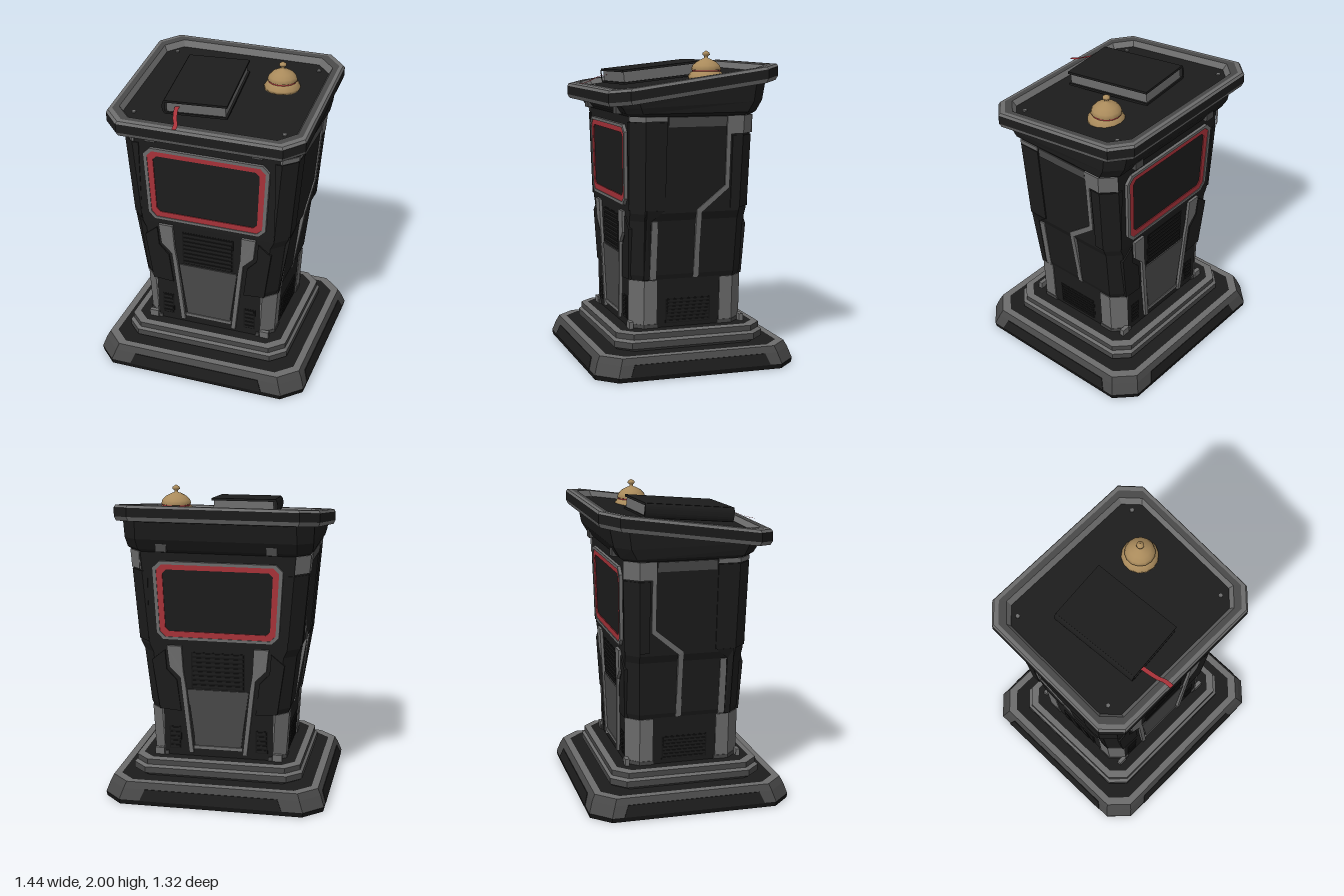
import * as THREE from 'three';

const mat = (name, color, extra = {}) =>
  Object.assign(new THREE.MeshStandardMaterial({ color, flatShading: true, ...extra }), { name });

// Piecewise linear lookup of column c in rows sorted by y
const lookup = (rows, c) => (y) => {
  let i = 1;
  while (i < rows.length - 1 && rows[i][0] < y) i++;
  const [a, b] = [rows[i - 1], rows[i]];
  return a[c] + (b[c] - a[c]) * THREE.MathUtils.clamp((y - a[0]) / (b[0] - a[0]), 0, 1);
};

// Eight-sided ring with chamfered corners; tilt lowers the front and lifts the back
function ring([y, hx, hz, c, tilt = 0, zc = 0]) {
  const q = [[hx, hz - c], [hx, c - hz], [hx - c, -hz], [c - hx, -hz],
    [-hx, c - hz], [-hx, hz - c], [c - hx, hz], [hx - c, hz]];
  return q.map(([x, z]) => [x, y - tilt * (z + zc), z + zc]);
}

// Skin between rows of points; each band gets its own material slot, caps close the ends
function skin(rows, closed, caps) {
  const pos = [], geo = new THREE.BufferGeometry();
  const group = (start, slot) => geo.addGroup(start, pos.length / 3 - start, slot);
  for (let r = 0; r < rows.length - 1; r++) {
    const start = pos.length / 3, n = rows[r].length;
    for (let i = 0; i < (closed ? n : n - 1); i++) {
      const j = (i + 1) % n, [a, b, c, d] = [rows[r][i], rows[r][j], rows[r + 1][j], rows[r + 1][i]];
      pos.push(...a, ...b, ...c, ...a, ...c, ...d);
    }
    if (caps) group(start, r);
  }
  if (caps) {
    const start = pos.length / 3, bot = rows[0], top = rows[rows.length - 1];
    for (let i = 1; i < bot.length - 1; i++) {
      pos.push(...bot[0], ...bot[i + 1], ...bot[i], ...top[0], ...top[i], ...top[i + 1]);
    }
    group(start, rows.length - 1);
  }
  geo.setAttribute('position', new THREE.Float32BufferAttribute(pos, 3));
  geo.computeVertexNormals();
  return geo;
}

export function createModel() {
  const black = mat('black', 0x1c1c1c), dark = mat('charcoal', 0x151515);
  const mid = mat('worn grey', 0x484848), light = mat('edge grey', 0x6c6c6c);
  const red = mat('red', 0xa83239, { side: THREE.DoubleSide }), brass = mat('brass', 0xa98a5b);
  brass.flatShading = false;

  const model = new THREE.Group();
  model.name = 'lectern';
  const add = (name, geo, material, parent = model) => {
    const m = new THREE.Mesh(geo, material);
    m.name = name;
    parent.add(m);
    return m;
  };
  // One material per band, the last one for the caps
  const loft = (name, sections, mats) => add(name, skin(sections.map(ring), true, true), mats);

  // Stepped base
  const baseRows = [[0, 0.71, 0.655, 0.12], [0.03, 0.715, 0.658, 0.12], [0.10, 0.69, 0.635, 0.12],
    [0.14, 0.67, 0.615, 0.115], [0.14, 0.625, 0.57, 0.1], [0.14, 0.5, 0.45, 0.1]];
  loft('base', baseRows, [dark, mid, mid, light, black, dark]);
  loft('upperStep', [[0.14, 0.53, 0.47, 0.09], [0.16, 0.555, 0.495, 0.09], [0.20, 0.555, 0.495, 0.09],
    [0.215, 0.54, 0.48, 0.09], [0.25, 0.54, 0.48, 0.09], [0.255, 0.5, 0.44, 0.08], [0.255, 0.42, 0.36, 0.08]],
  [mid, mid, light, mid, light, black, black]);

  // Tapering body
  const C = 0.075;
  const bodyRows = [[0.25, 0.428, 0.37, C], [0.57, 0.447, 0.37, C], [0.60, 0.458, 0.374, C],
    [0.95, 0.497, 0.382, C], [1.0, 0.52, 0.385, C], [1.62, 0.572, 0.395, C]];
  loft('body', bodyRows, [black, black, black, black, black, black]);
  const halfX = lookup(bodyRows, 1), halfZ = lookup(bodyRows, 2);

  // Plate standing "out" proud of a face: 0 front, 1 left, 2 back, 3 right
  function plate(name, face, pts, out, material, hole, half = face % 2 ? halfX : halfZ) {
    const shape = new THREE.Shape(pts.map((p) => new THREE.Vector2(...p)));
    if (hole) shape.holes.push(new THREE.Path(hole.map((p) => new THREE.Vector2(...p))));
    const geo = new THREE.ExtrudeGeometry(shape, { depth: out + 0.012, bevelEnabled: false });
    const p = geo.attributes.position;
    for (let i = 0; i < p.count; i++) p.setZ(i, p.getZ(i) - 0.012 + half(p.getY(i)));
    geo.computeVertexNormals();
    geo.rotateY(face * Math.PI / 2);
    geo.clearGroups();
    return add(name, geo, material);
  }
  const flip = (pts, s) => pts.map(([u, v]) => [u * s, v]);
  const rect = (u0, u1, v0, v1) => [[u0, v0], [u1, v0], [u1, v1], [u0, v1]];
  // Trapezoid with cut corners
  const cut = (wb, wt, y0, y1, c) => [[c - wb, y0], [wb - c, y0], [wb, y0 + c], [wt, y1 - c],
    [wt - c, y1], [c - wt, y1], [-wt, y1 - c], [-wb, y0 + c]];
  function vent(face, u0, u1, v0, v1, n) {
    plate('ventRecess', face, rect(u0, u1, v0, v1), 0.002, dark);
    const step = (v1 - v0) / n;
    for (let i = 0; i < n; i++) {
      plate('ventSlat', face, rect(u0 + 0.01, u1 - 0.01, v0 + step * (i + 0.2), v0 + step * (i + 0.75)), 0.008, black);
    }
  }

  // Plates wrapped round a body corner
  function wrap(name, sx, sz, y0, y1, x0, z0, e, material) {
    const rows = [[y0, -0.004], [y0, e], [y1, e], [y1, -0.004]].map(([y, o]) => {
      const hx = halfX(y), hz = halfZ(y);
      const pts = [[x0, hz - 0.004], [x0, hz + o], [hx - C, hz + o], [hx + o, hz - C], [hx + o, z0], [hx - 0.004, z0]];
      const row = pts.map(([x, z]) => [x * sx, y, z * sz]);
      return sx * sz > 0 ? row : row.reverse();
    });
    add(name, skin(rows, false, false), material);
  }
  for (const sx of [-1, 1]) {
    for (const sz of [-1, 1]) {
      wrap('footGuard', sx, sz, 0.28, 0.565, 0.36, 0.21, 0.006, light);
      wrap('footTrim', sx, sz, 0.255, 0.28, 0.33, 0.2, 0.01, mid);
    }
    wrap('frontShoulder', sx, 1, 1.02, 1.57, 0.45, 0.18, 0.008, black);
    wrap('frontShoulderTrim', sx, 1, 1.575, 1.605, 0.48, 0.18, 0.008, light);
    wrap('rearShoulderCap', sx, -1, 1.49, 1.605, 0.5, 0.21, 0.01, light);
    wrap('rearShoulder', sx, -1, 1.02, 1.48, 0.45, 0.25, 0.008, black);
  }

  // Front and back: framed screen, vent, centre panel and rails
  for (const face of [0, 2]) {
    plate('screenFrame', face, cut(0.395, 0.418, 1.04, 1.55, 0.045), 0.02, light, cut(0.373, 0.393, 1.06, 1.53, 0.035));
    plate('screenBorder', face, cut(0.376, 0.396, 1.057, 1.533, 0.035), 0.015, red, cut(0.338, 0.353, 1.097, 1.497, 0.025));
    plate('screen', face, cut(0.341, 0.356, 1.094, 1.5, 0.025), 0.009, black);
    vent(face, -0.175, 0.175, 0.72, 0.96, 8);
    plate('centrePanel', face, [[-0.15, 0.33], [0.15, 0.33], [0.2, 0.71], [-0.2, 0.71]], 0.008, mid);
    plate('centrePanelSill', face, rect(-0.16, 0.16, 0.305, 0.328), 0.012, light);
    for (const s of [-1, 1]) {
      plate('rail', face, flip([[0.162, 0.28], [0.19, 0.28], [0.245, 0.79], [0.315, 0.86], [0.33, 1.0],
        [0.235, 1.0], [0.225, 0.83], [0.208, 0.72]], s), 0.018, light);
      plate('hipArmour', face, flip([[0.245, 0.56], [0.27, 0.77], [0.335, 0.84], [0.345, 0.97], [0.43, 0.9], [0.385, 0.57]], s),
        0.01, black);
      vent(face, s * 0.285 - 0.04, s * 0.285 + 0.04, 0.30, 0.45, 5);
      plate('topClip', face, rect(s * 0.35 - 0.035, s * 0.35 + 0.035, 1.615, 1.665), face ? 0.055 : 0.06, mid);
      plate('footClip', face, rect(s * 0.39 - 0.03, s * 0.39 + 0.03, 0.255, 0.30), 0.015, light);
    }
  }

  // Left and right: seams, vent and top strip, mirrored
  for (const [face, s] of [[1, 1], [3, -1]]) {
    plate('sideSeam', face, flip([[0.028, 0.57], [0.062, 0.57], [0.062, 1.0], [0.238, 1.15], [0.238, 1.5],
      [0.21, 1.5], [0.21, 1.168], [0.028, 1.018]], s), 0.009, light);
    plate('frontSeam', face, flip([[-0.26, 0.57], [-0.22, 0.57], [-0.22, 0.95], [-0.26, 0.95]], s), 0.009, light);
    plate('hipPanel', face, flip([[-0.3, 0.57], [-0.265, 0.57], [-0.265, 0.95], [-0.185, 1.02], [-0.3, 1.02]], s), 0.01, black);
    plate('topStrip', face, flip(rect(-0.17, 0.205, 1.54, 1.6), s), 0.006, mid);
    vent(face, -0.15, 0.15, 0.28, 0.44, 7);
  }

  // Dark insets on the base
  for (let face = 0; face < 4; face++) {
    plate('baseInset', face, [[-0.46, 0.03], [0.46, 0.03], [0.43, 0.1], [-0.43, 0.1]], 0.004, black, null,
      lookup(baseRows.slice(1, 4), face % 2 ? 1 : 2));
  }

  // Collar and sloping tray top
  const T = 0.14, Z = -0.01;
  loft('collar', [[1.60, 0.565, 0.39, 0.08], [1.625, 0.59, 0.425, 0.085], [1.675, 0.60, 0.455, 0.09, 0.04, Z],
    [1.75, 0.605, 0.48, 0.1, T, Z]], [black, black, black, black]);
  loft('trayTop', [[1.738, 0.59, 0.49, 0.1, T, Z], [1.742, 0.635, 0.54, 0.11, T, Z], [1.768, 0.645, 0.552, 0.11, T, Z],
    [1.825, 0.645, 0.552, 0.11, T, Z], [1.841, 0.637, 0.544, 0.11, T, Z], [1.844, 0.615, 0.52, 0.105, T, Z],
    [1.842, 0.58, 0.485, 0.1, T, Z], [1.806, 0.56, 0.46, 0.09, T, Z]],
  [black, light, black, light, light, mid, light, black]);

  // Items lying on the slope
  const slope = new THREE.Group();
  slope.name = 'slopeItems';
  slope.position.y = 1.806;
  slope.rotation.x = Math.atan(T);
  model.add(slope);
  for (const x of [-0.49, 0.49]) {
    for (const z of [-0.4, 0.36]) {
      add('screw', new THREE.CylinderGeometry(0.014, 0.014, 0.01, 8), light, slope).position.set(x, 0.003, z);
    }
  }

  // Closed book with rounded spine
  const book = new THREE.Group();
  book.name = 'book';
  book.position.set(-0.115, 0.01, 0.045);
  book.rotation.set(-0.04, 0.09, 0);
  slope.add(book);
  const box = (name, w, h, d, x, y, m) => add(name, new THREE.BoxGeometry(w, h, d), m, book).position.set(x, y, 0);
  box('lowerCover', 0.4, 0.014, 0.6, 0.005, 0.007, black);
  box('pages', 0.375, 0.066, 0.58, 0.005, 0.047, light);
  box('upperCover', 0.4, 0.015, 0.6, 0.005, 0.0865, black);
  const spine = new THREE.CylinderGeometry(0.047, 0.047, 0.6, 10, 1, false, 0, Math.PI);
  spine.rotateX(Math.PI / 2).rotateZ(Math.PI).scale(0.45, 1, 1);
  add('spine', spine, black, book).position.set(-0.19, 0.047, 0);

  // Ribbon bookmark draped over the front rim
  const path = new THREE.CatmullRomCurve3([[-0.205, 1.835, 0.32], [-0.195, 1.83, 0.39], [-0.175, 1.805, 0.46],
    [-0.155, 1.79, 0.5], [-0.148, 1.777, 0.55]].map((p) => new THREE.Vector3(...p)));
  const rows = path.getPoints(10).map((p) => [[p.x - 0.014, p.y, p.z], [p.x + 0.014, p.y, p.z]]);
  add('bookmark', skin(rows, false, false), red);

  // Desk bell
  const profile = [[0, 0], [0.116, 0], [0.116, 0.018], [0.098, 0.046], [0.086, 0.05], [0.086, 0.056], [0.096, 0.06],
    [0.088, 0.085], [0.065, 0.108], [0.032, 0.125], [0.012, 0.132], [0.012, 0.145], [0.024, 0.153], [0.022, 0.166], [0, 0.18]];
  const bell = add('bell', new THREE.LatheGeometry(profile.map((p) => new THREE.Vector2(...p)), 14), brass);
  bell.position.set(0.315, 1.82, -0.16);
  add('bellBand', new THREE.CylinderGeometry(0.091, 0.091, 0.007, 14, 1, true), red).position.set(0.315, 1.873, -0.16);

  return model;
}
